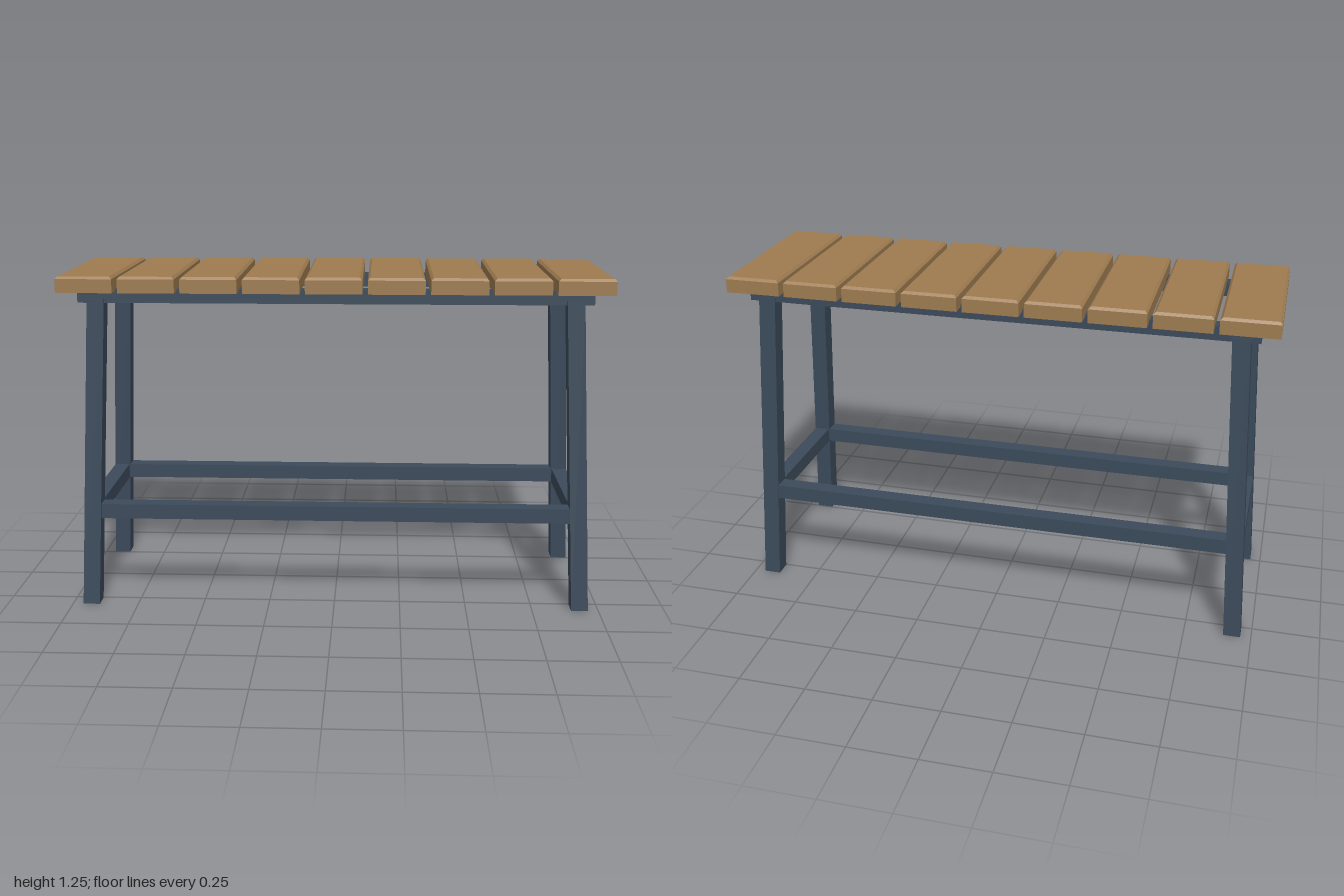
import * as THREE from 'three';

const wood = new THREE.MeshStandardMaterial({ color: 0x9e7b50 });
wood.name = 'wood';
const steel = new THREE.MeshStandardMaterial({ color: 0x3b4a5a });
steel.name = 'slate paint';

// Box standing between y0 and y1
function beam(name, w, d, y0, y1, x, z) {
  const mesh = new THREE.Mesh(new THREE.BoxGeometry(w, y1 - y0, d), steel);
  mesh.position.set(x, (y0 + y1) / 2, z);
  mesh.name = name;
  return mesh;
}

// Board whose upper edges are chamfered
function plankGeometry(w, h, d, c) {
  const geo = new THREE.BoxGeometry(w, h, d, 1, 2, 1).toNonIndexed();
  const p = geo.attributes.position;
  for (let i = 0; i < p.count; i++) {
    const y = p.getY(i);
    if (y > h / 4) {
      p.setX(i, p.getX(i) - Math.sign(p.getX(i)) * c);
      p.setZ(i, p.getZ(i) - Math.sign(p.getZ(i)) * c);
    } else if (y > -h / 4) p.setY(i, h / 2 - c);
  }
  geo.computeVertexNormals();
  return geo;
}

// Leg leaning inwards, with level ends
function legGeometry(sx, sz) {
  const size = 0.063, height = 1.17;
  const geo = new THREE.BoxGeometry(size, height, size).toNonIndexed();
  geo.translate(0, height / 2, 0);
  const p = geo.attributes.position;
  for (let i = 0; i < p.count; i++) {
    const t = p.getY(i) / height;
    p.setX(i, p.getX(i) + sx * (0.929 - 0.061 * t));
    p.setZ(i, p.getZ(i) + sz * (0.285 - 0.051 * t));
  }
  geo.computeVertexNormals();
  return geo;
}

export function createModel() {
  const model = new THREE.Group();
  model.name = 'slattedBench';

  // Seat slats
  const seat = new THREE.Group();
  seat.name = 'seat';
  const plank = plankGeometry(0.205, 0.059, 0.634, 0.009);
  for (let i = 0; i < 9; i++) {
    const slat = new THREE.Mesh(plank, wood);
    slat.position.set((i - 4) * 0.2244, 1.2255, 0);
    slat.name = 'seatSlat';
    seat.add(slat);
  }
  model.add(seat);

  // Frame: legs, seat rails and stretchers
  const frame = new THREE.Group();
  frame.name = 'frame';
  for (const s of [-1, 1]) {
    for (const sz of [-1, 1]) {
      const leg = new THREE.Mesh(legGeometry(s, sz), steel);
      leg.name = 'leg';
      frame.add(leg);
    }
    frame.add(beam('seatRail', 1.87, 0.053, 1.153, 1.204, 0, s * 0.235));
    frame.add(beam('longStretcher', 1.81, 0.058, 0.34, 0.396, 0, s * 0.268));
    frame.add(beam('endStretcher', 0.058, 0.53, 0.34, 0.396, s * 0.91, 0));
  }
  model.add(frame);
  return model;
}
